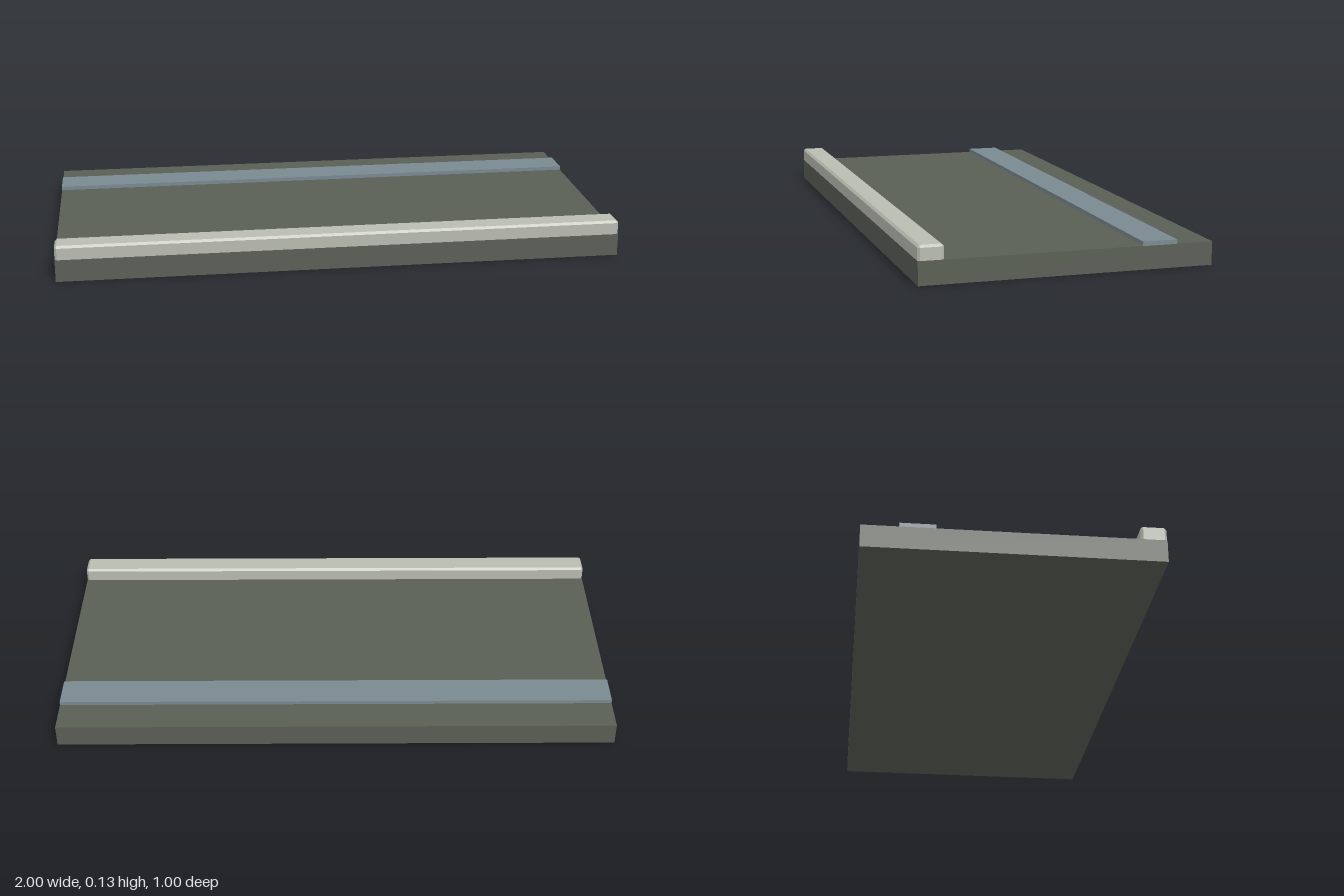
import * as THREE from 'three';
import { ConvexGeometry } from 'three/addons/geometries/ConvexGeometry.js';

const material = (name, color) => {
  const m = new THREE.MeshStandardMaterial({ color });
  m.name = name;
  return m;
};

// Block with all upper and end edges chamfered by c; the bottom stays square
function chamferedBlock(w, h, d, c) {
  const points = [];
  for (const sx of [-1, 1]) for (const sz of [-1, 1]) {
    const x = sx * w / 2, z = sz * d / 2;
    for (const y of [0, h - c]) {
      points.push(new THREE.Vector3(x, y, z - sz * c), new THREE.Vector3(x - sx * c, y, z));
    }
    points.push(new THREE.Vector3(x - sx * c, h, z - sz * c));
  }
  return new ConvexGeometry(points);
}

export function createModel() {
  const group = new THREE.Group();
  const add = (name, geometry, mat, y, z) => {
    const mesh = new THREE.Mesh(geometry, mat);
    mesh.name = name;
    mesh.position.set(0, y, z);
    group.add(mesh);
  };

  // Base slab
  add('slab', new THREE.BoxGeometry(2, 0.08, 1), material('dark grey green', 0x5a5f55), 0.04, 0);

  // Raised kerb along the front edge
  add('kerb', chamferedBlock(2, 0.05, 0.087, 0.008), material('pale stone', 0xb9bcb1), 0.08, 0.4565);

  // Low strip towards the back
  add('strip', new THREE.BoxGeometry(2, 0.015, 0.12), material('blue grey', 0x7a8991), 0.0865, -0.315);

  return group;
}
